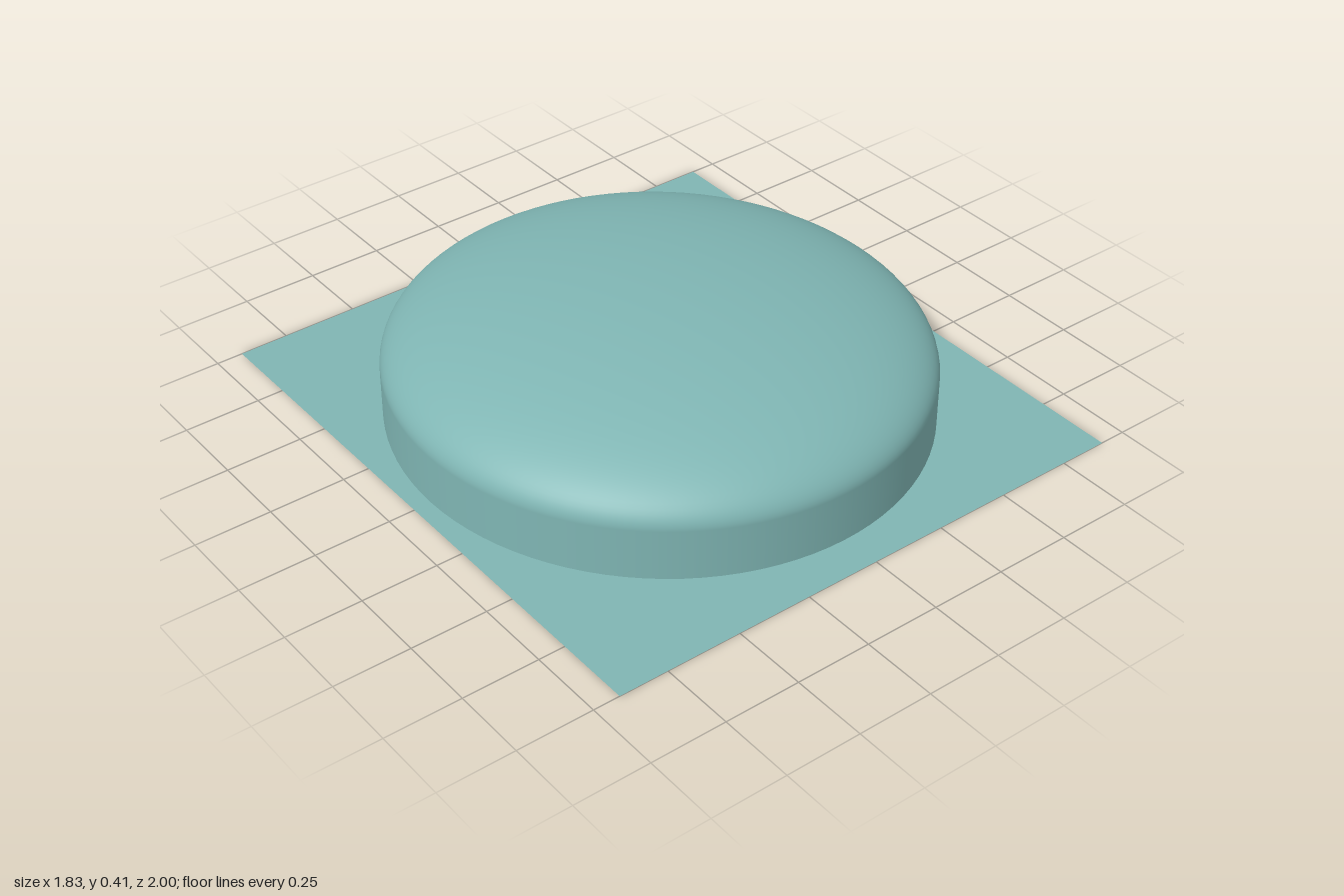
import * as THREE from 'three';

export function createModel() {
  const group = new THREE.Group();
  const RX = 0.845, RZ = 0.872, CX = -0.01; // oval footprint
  const WALL = 0.17, RISE = 0.24;

  const add = (name, geometry) => {
    const material = new THREE.MeshStandardMaterial({ color: 0x7fb5b3, side: THREE.DoubleSide });
    const mesh = new THREE.Mesh(geometry, material);
    mesh.name = name;
    group.add(mesh);
    return mesh;
  };

  // Thin rectangular sheet on the ground
  add('basePlate', new THREE.PlaneGeometry(1.826, 2).rotateX(-Math.PI / 2));

  // Upright oval wall
  const wall = add('wall', new THREE.CylinderGeometry(1, 1, WALL, 96, 1, true));
  wall.scale.set(RX, 1, RZ);
  wall.position.set(CX, WALL / 2, 0);

  // Flattened half-ellipsoid top
  const dome = add('dome', new THREE.SphereGeometry(1, 96, 32, 0, Math.PI * 2, 0, Math.PI / 2));
  dome.scale.set(RX, RISE, RZ);
  dome.position.set(CX, WALL, 0);

  return group;
}
